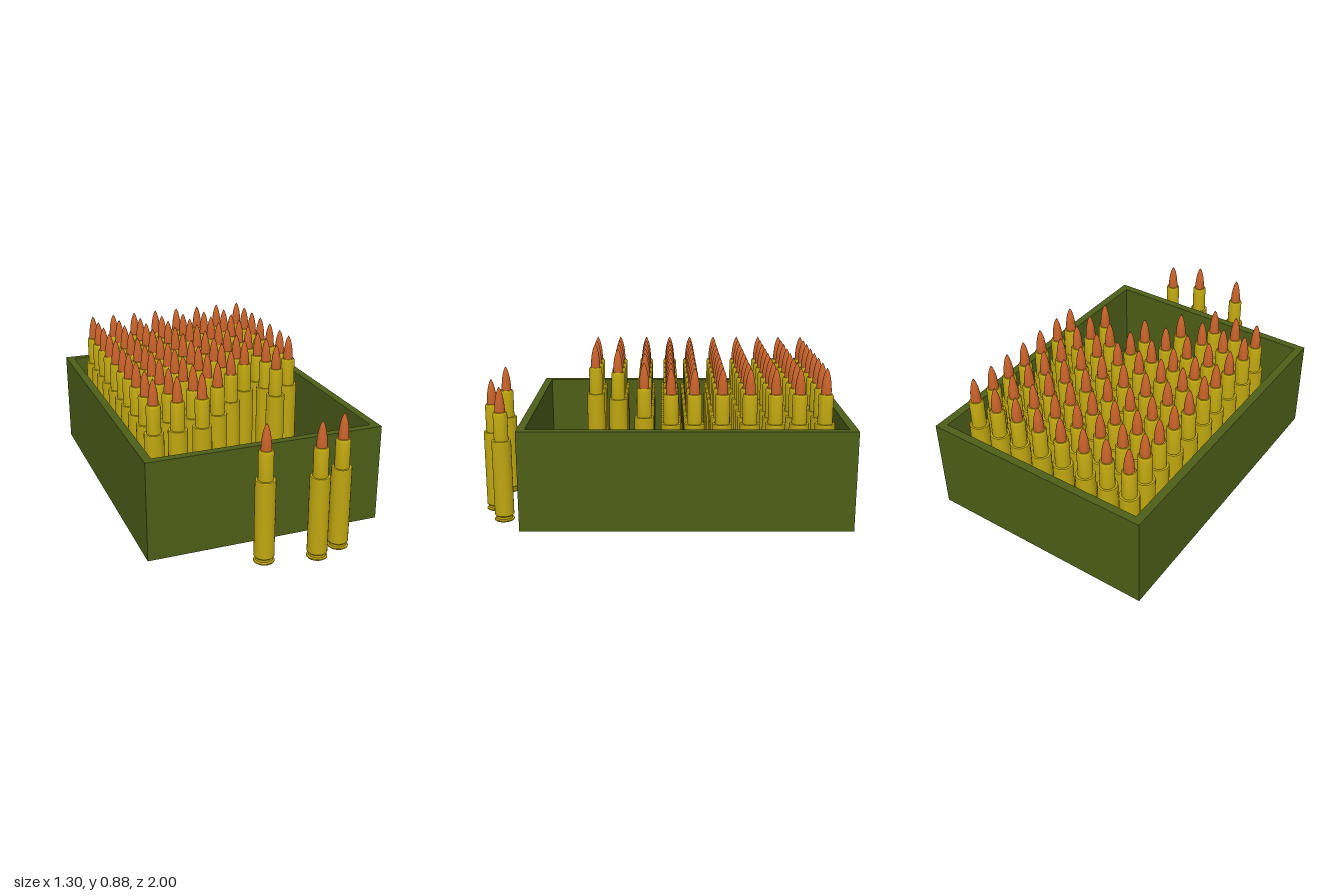
import * as THREE from 'three';
import { toCreasedNormals } from 'three/addons/utils/BufferGeometryUtils.js';

const material = (color) => new THREE.MeshStandardMaterial({ color });

function lathe(points, segments = 24) {
  const profile = points.map(([r, y]) => new THREE.Vector2(r, y));
  return toCreasedNormals(new THREE.LatheGeometry(profile, segments), 0.5);
}

function rectangle(Type, halfW, halfD) {
  return new Type().moveTo(-halfW, -halfD).lineTo(halfW, -halfD)
    .lineTo(halfW, halfD).lineTo(-halfW, halfD).closePath();
}

export function createModel() {
  const model = new THREE.Group();
  model.name = 'cartridgeBox';
  const green = material(0x4d5e18);
  const brass = material(0xc0a610);
  const copper = material(0xc8622a);

  // Open box: a rim of four walls and a floor
  const box = new THREE.Group();
  box.name = 'box';
  box.position.set(0, 0.045, -0.125);
  const outline = rectangle(THREE.Shape, 0.65, 0.875);
  outline.holes.push(rectangle(THREE.Path, 0.605, 0.832));
  const wallGeometry = new THREE.ExtrudeGeometry(outline, { depth: 0.54, bevelEnabled: false });
  wallGeometry.rotateX(-Math.PI / 2);
  const walls = new THREE.Mesh(wallGeometry, green);
  walls.name = 'walls';
  const floor = new THREE.Mesh(new THREE.BoxGeometry(1.21, 0.08, 1.664), green);
  floor.name = 'floor';
  floor.position.y = 0.04;
  box.add(walls, floor);
  model.add(box);

  // Case: rim, extractor groove, body, stepped neck
  const caseGeometry = lathe([
    [0, 0], [0.051, 0], [0.054, 0.003], [0.054, 0.009], [0.051, 0.012],
    [0.046, 0.014], [0.046, 0.027], [0.053, 0.034], [0.053, 0.453],
    [0.051, 0.456], [0.039, 0.456], [0.039, 0.604], [0.034, 0.614], [0.02, 0.614],
  ]);

  // Bullet: rounded ogive
  const ogive = [];
  for (let i = 0; i <= 9; i++) {
    const t = i / 9;
    ogive.push([0.0275 * Math.pow(Math.max(0, 1 - Math.pow(t, 2.1)), 0.75), 0.612 + 0.141 * t]);
  }
  const bulletGeometry = lathe(ogive);

  function addCartridge(parent, x, y, z) {
    const cartridge = new THREE.Group();
    cartridge.name = 'cartridge';
    const shell = new THREE.Mesh(caseGeometry, brass);
    shell.name = 'case';
    const bullet = new THREE.Mesh(bulletGeometry, copper);
    bullet.name = 'bullet';
    cartridge.add(shell, bullet);
    cartridge.position.set(x, y, z);
    parent.add(cartridge);
  }

  // Cartridges in the box, with the front rows partly used up
  const stored = new THREE.Group();
  stored.name = 'storedCartridges';
  const columns = [-0.495, -0.364, -0.228, -0.087, 0.054, 0.195, 0.331, 0.474];
  const rows = [-0.852, -0.716, -0.59, -0.456, -0.312, -0.166, -0.043, 0.1, 0.26, 0.4];
  const partialRows = { 7: [0, 1, 2, 3, 4, 6], 8: [0, 1, 2, 3], 9: [0, 1, 2] };
  rows.forEach((z, row) => columns.forEach((x, column) => {
    const filled = partialRows[row];
    if (!filled || filled.includes(column)) addCartridge(stored, x, 0.127, z);
  }));
  model.add(stored);

  // Loose cartridges standing in front of the box
  const loose = new THREE.Group();
  loose.name = 'looseCartridges';
  addCartridge(loose, -0.087, 0.021, 0.912);
  addCartridge(loose, 0.195, 0.007, 0.946);
  addCartridge(loose, 0.353, 0, 0.876);
  model.add(loose);

  return model;
}
